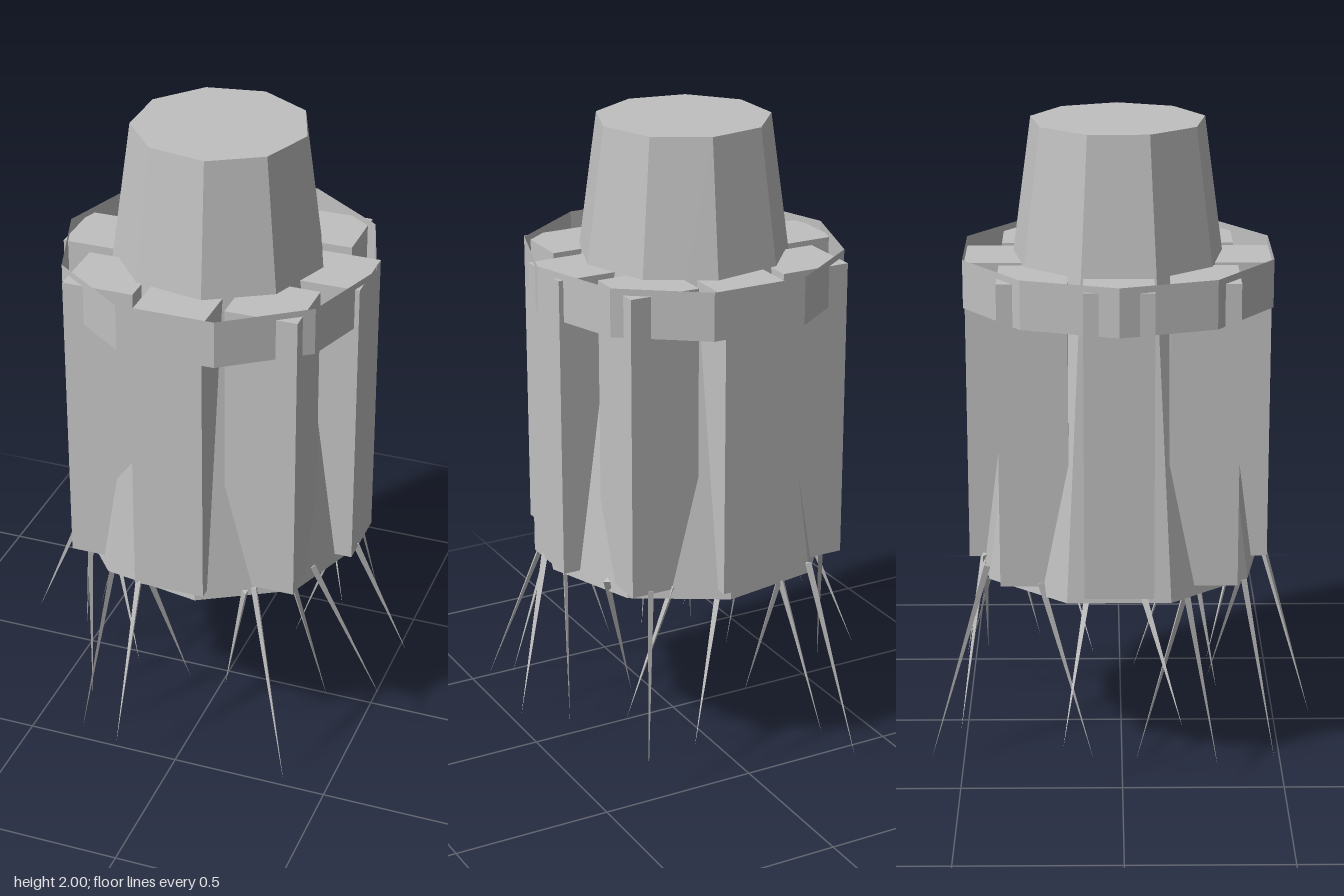
import * as THREE from 'three';

const CX = -0.03, CZ = -0.01; // axis of the body

export function createModel() {
  const model = new THREE.Group();
  const grey = new THREE.MeshStandardMaterial({ color: 0xc0c0c0 });
  grey.name = 'grey';
  grey.flatShading = true;
  grey.side = THREE.DoubleSide;

  const add = (name, geometry, x, y, z) => {
    const mesh = new THREE.Mesh(geometry, grey);
    mesh.name = name;
    mesh.position.set(x, y, z);
    model.add(mesh);
    return mesh;
  };

  // Nine-sided tapering core, from the underside to the flat top
  add('core', new THREE.CylinderGeometry(0.27, 0.4625, 1.4, 9, 1, false, Math.PI / 2), CX, 1.3, CZ);

  // Open ten-sided band around the pillars
  add('collar', new THREE.CylinderGeometry(0.495, 0.495, 0.15, 10, 1, true, Math.PI / 2), CX, 1.525, CZ);

  // Eight upright pillars, all square to the axes
  const pillar = new THREE.BoxGeometry(0.225, 0.95, 0.21);
  for (let i = 0; i < 8; i++) {
    const a = (i * Math.PI) / 4;
    add('pillar', pillar, CX + 0.363 * Math.cos(a), 1.105, CZ + 0.363 * Math.sin(a));
  }

  // Thin spikes under the rim: root x, root z, tip x, tip y, tip z
  const spikes = [
    [0.44, 0.03, 0.59, 0.17, -0.09],
    [0.35, 0.2, 0.58, 0.18, 0.18],
    [0.36, -0.24, 0.2, 0.15, -0.09],
    [0.28, 0.23, 0.36, 0.02, 0.04],
    [0.22, 0.37, 0.36, 0.0, 0.48],
    [0.28, -0.37, 0.36, 0.1, -0.51],
    [0.2, -0.37, 0.31, 0.17, -0.27],
    [0.2, 0.4, 0.09, 0.17, 0.28],
    [0.07, -0.43, 0.2, 0.15, -0.51],
    [-0.13, 0.45, -0.16, 0.1, 0.6],
    [-0.15, -0.43, -0.02, 0.25, -0.43],
    [-0.13, 0.4, -0.03, 0.17, 0.28],
    [-0.14, -0.43, -0.26, 0.08, -0.51],
    [-0.25, -0.42, -0.33, 0.02, -0.6],
    [-0.31, 0.23, -0.2, 0.2, 0.3],
    [-0.41, 0.19, -0.37, 0.01, 0.3],
    [-0.4, 0.2, -0.5, 0.09, 0.04],
    [-0.25, 0.37, -0.33, 0.02, 0.48],
    [-0.42, -0.1, -0.58, 0.18, -0.18],
    [-0.46, 0.06, -0.6, 0.25, 0.18],
    [-0.4, -0.25, -0.5, 0.1, -0.09],
  ];
  const up = new THREE.Vector3(0, 1, 0);
  for (const [rx, rz, tx, ty, tz] of spikes) {
    const root = new THREE.Vector3(rx, 0.64, rz);
    const span = new THREE.Vector3(tx, ty, tz).sub(root);
    const mid = root.clone().addScaledVector(span, 0.5);
    const spike = add('spike', new THREE.ConeGeometry(0.012, span.length(), 3), mid.x, mid.y, mid.z);
    spike.quaternion.setFromUnitVectors(up, span.normalize());
  }

  return model;
}
